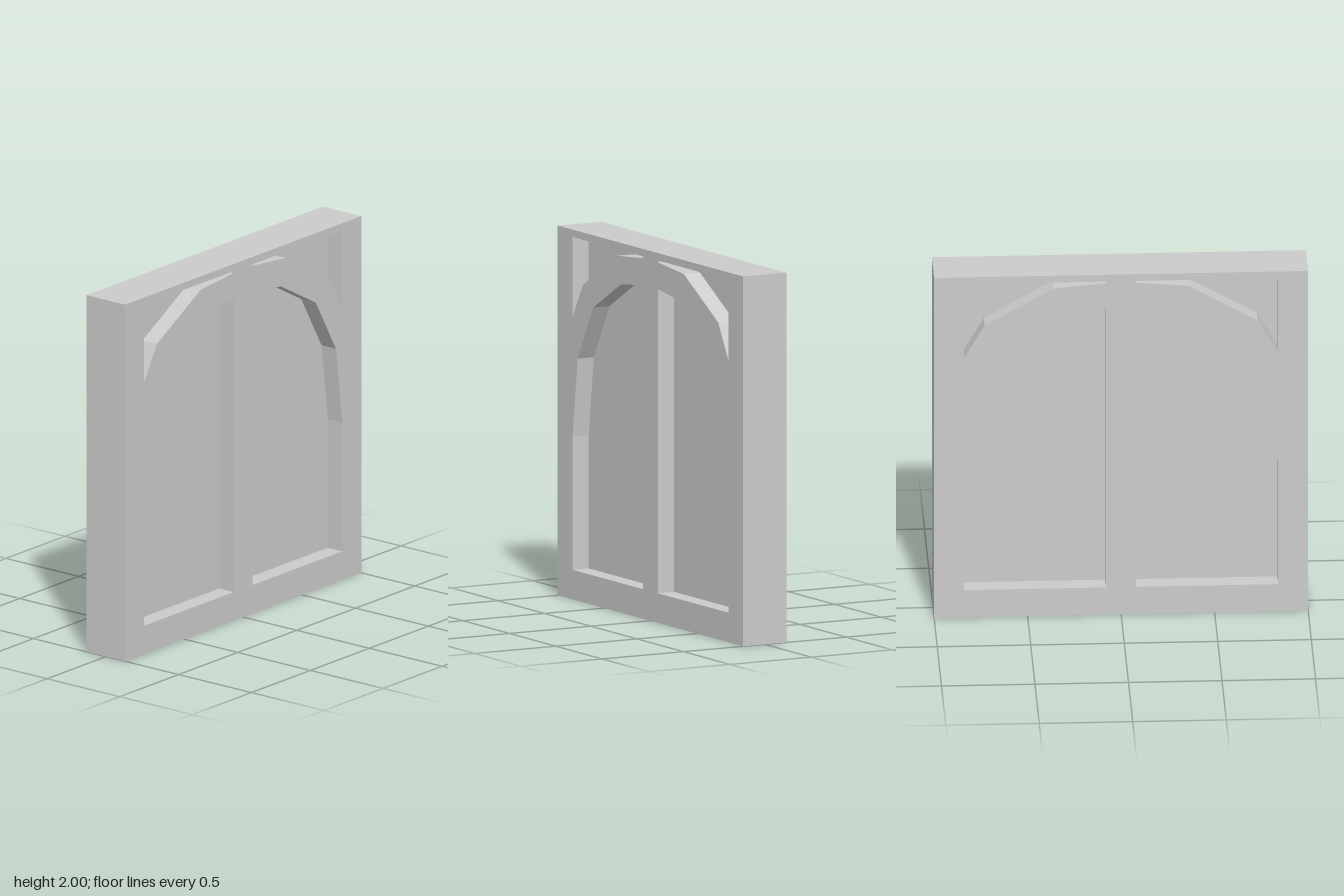
import * as THREE from 'three';

const DEPTH = 0.265; // frame thickness
const PANE = 0.066; // thickness left between the front and back recesses

// Right-hand outlines, mirrored for the left
const LIGHT = [[0.08, 0.16], [0.84, 0.16], [0.84, 0.88], [0.785, 1.31], [0.615, 1.61], [0.32, 1.775], [0.08, 1.805]];
const SPANDREL = [[0.08, 1.96], [0.08, 1.95], [0.36, 1.925], [0.73, 1.715], [0.84, 1.525], [0.84, 1.96]];

const outline = (points, side) => points.map(([x, y]) => new THREE.Vector2(x * side, y));

export function createModel() {
  const group = new THREE.Group();
  const material = new THREE.MeshStandardMaterial({ color: 0xcccccc, flatShading: true });
  const add = (name, geometry) => {
    const mesh = new THREE.Mesh(geometry, material);
    mesh.name = name;
    group.add(mesh);
    return mesh;
  };

  // Square frame pierced by two arched lights and two corner spandrels
  const frame = new THREE.Shape(outline([[-1, 0], [1, 0], [1, 2], [-1, 2]], 1));
  const openings = [];
  for (const side of [1, -1]) {
    openings.push(['archedPane', outline(LIGHT, side)], ['spandrelPane', outline(SPANDREL, side)]);
  }
  for (const [, points] of openings) frame.holes.push(new THREE.Path(points));
  const body = new THREE.ExtrudeGeometry(frame, { depth: DEPTH, bevelEnabled: false });
  add('frame', body.translate(0, 0, -DEPTH / 2));

  // Recessed panes, one facing each way in every opening
  for (const [name, points] of openings) {
    for (const facing of ['Front', 'Back']) {
      const pane = add(name + facing, new THREE.ShapeGeometry(new THREE.Shape(points)));
      pane.position.z = facing === 'Front' ? PANE / 2 : -PANE / 2;
      if (facing === 'Back') pane.rotation.y = Math.PI;
    }
  }
  return group;
}
